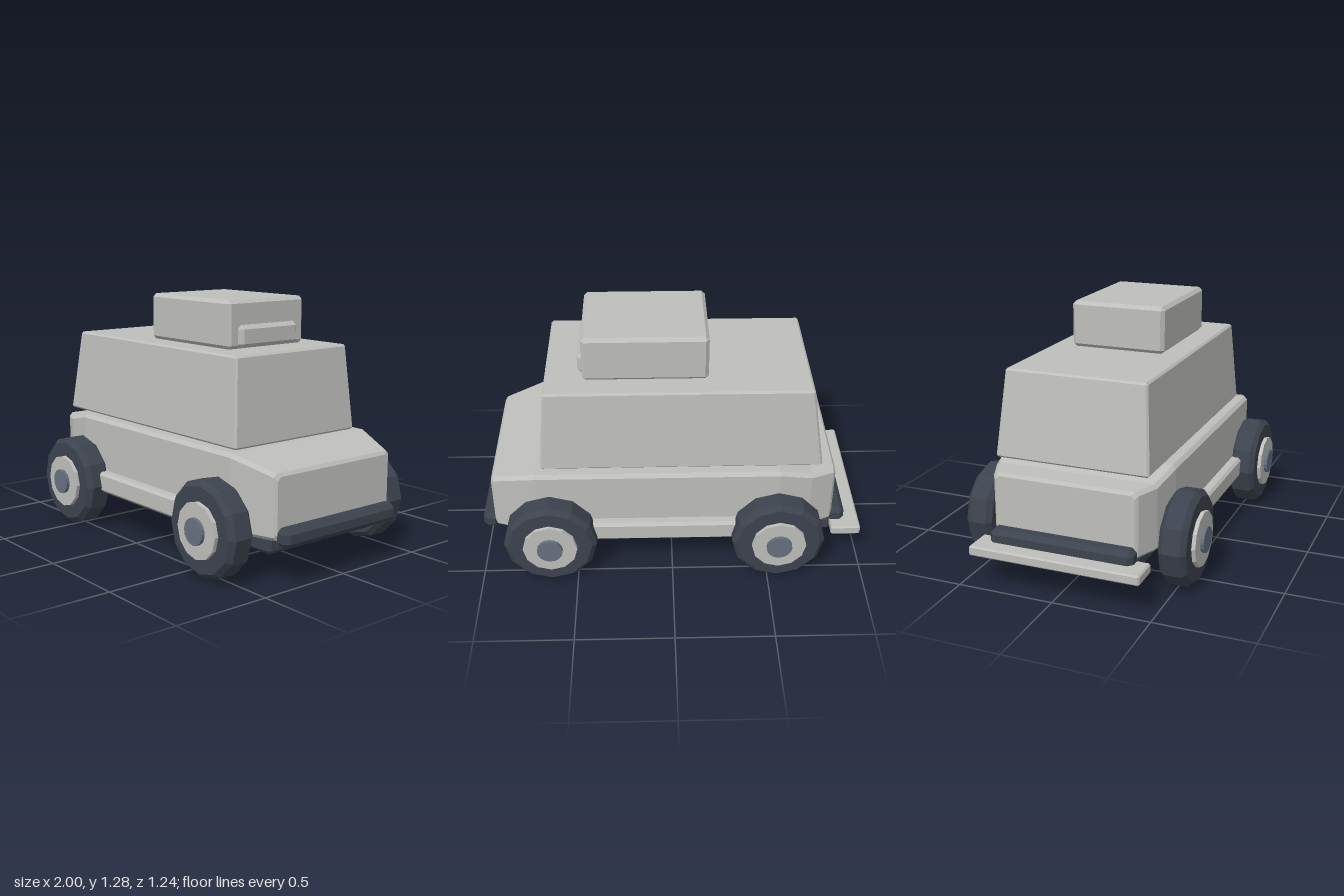
import * as THREE from 'three';
import { ConvexGeometry } from 'three/addons/geometries/ConvexGeometry.js';

const paint = new THREE.MeshStandardMaterial({ color: 0xbebebb });
paint.name = 'light grey paint';
const rubber = new THREE.MeshStandardMaterial({ color: 0x3d434e });
rubber.name = 'dark rubber';
const steel = new THREE.MeshStandardMaterial({ color: 0x667080 });
steel.name = 'blue grey steel';

function flat(geometry) {
  const g = geometry.index ? geometry.toNonIndexed() : geometry;
  g.computeVertexNormals();
  return g;
}

// Chamfered block; the upper face may be smaller than the lower one
function block(name, mat, [x0, x1], [y0, y1], [z0, z1], c, top = { x: [x0, x1], z: [z0, z1] }) {
  const pts = [];
  for (const up of [0, 1]) for (const i of [0, 1]) for (const k of [0, 1]) {
    const x = up ? top.x[i] : [x0, x1][i];
    const z = up ? top.z[k] : [z0, z1][k];
    const y = up ? y1 : y0;
    const dx = i ? -c : c, dy = up ? -c : c, dz = k ? -c : c;
    pts.push(
      new THREE.Vector3(x, y + dy, z + dz),
      new THREE.Vector3(x + dx, y, z + dz),
      new THREE.Vector3(x + dx, y + dy, z));
  }
  const mesh = new THREE.Mesh(new ConvexGeometry(pts), mat);
  mesh.name = name;
  return mesh;
}

// Lower body: chamfered sections lofted along the length
function bodyGeometry() {
  // x, top height, half width, bottom height
  const stations = [
    [-0.85, 0.54, 0.36, 0.235],
    [-0.838, 0.556, 0.375, 0.22],
    [-0.72, 0.56, 0.425, 0.22],
    [-0.55, 0.6, 0.455, 0.22],
    [0.7, 0.6, 0.455, 0.22],
    [0.922, 0.539, 0.385, 0.22],
    [0.935, 0.522, 0.37, 0.235],
  ];
  const c = 0.018;
  const pos = [];
  for (const [x, t, w, b] of stations) {
    for (const [y, z] of [[b, w - c], [b + c, w], [t - c, w], [t, w - c],
      [t, c - w], [t - c, -w], [b + c, -w], [b, c - w]]) pos.push(x, y, z);
  }
  const idx = [], n = 8, last = (stations.length - 1) * n;
  for (let s = 0; s < stations.length - 1; s++) {
    for (let i = 0; i < n; i++) {
      const a = s * n + i, b = s * n + (i + 1) % n;
      idx.push(a, a + n, b, b, a + n, b + n);
    }
  }
  for (let i = 1; i < n - 1; i++) {
    idx.push(0, i, i + 1, last, last + i + 1, last + i);
  }
  const g = new THREE.BufferGeometry();
  g.setAttribute('position', new THREE.Float32BufferAttribute(pos, 3));
  g.setIndex(idx);
  return flat(g);
}

function disc(name, mat, radius, z0, z1, sides) {
  const g = new THREE.CylinderGeometry(radius, radius, z1 - z0, sides);
  g.rotateX(Math.PI / 2).translate(0, 0, (z0 + z1) / 2);
  const mesh = new THREE.Mesh(flat(g), mat);
  mesh.name = name;
  return mesh;
}

// Wheel facing +z, centred on its axle
function makeWheel() {
  const wheel = new THREE.Group();
  const profile = [[0, -0.07], [0.215, -0.07], [0.24, -0.045], [0.24, 0.045], [0.215, 0.07], [0, 0.07]]
    .map(([r, y]) => new THREE.Vector2(r, y));
  const tyre = new THREE.Mesh(flat(new THREE.LatheGeometry(profile, 12).rotateX(Math.PI / 2)), rubber);
  tyre.name = 'tyre';
  wheel.add(tyre,
    disc('rim', paint, 0.14, 0.06, 0.09, 12),
    disc('hubCap', steel, 0.066, 0.08, 0.108, 16));
  return wheel;
}

export function createModel() {
  const car = new THREE.Group();
  car.name = 'utilityVehicle';

  const body = new THREE.Mesh(bodyGeometry(), paint);
  body.name = 'lowerBody';
  car.add(body);

  // Cabin and roof equipment
  car.add(
    block('cabin', paint, [-0.77, 0.673], [0.603, 1.04], [-0.4, 0.4], 0.01,
      { x: [-0.708, 0.638], z: [-0.367, 0.367] }),
    block('roofBox', paint, [-0.187, 0.445], [1.04, 1.28], [-0.252, 0.252], 0.018),
    block('roofBoxPanel', paint, [0.4, 0.47], [1.045, 1.157], [-0.192, 0.192], 0.02));

  // Underside, bumpers and rear step
  car.add(
    block('chassis', rubber, [-0.86, 0.865], [0.13, 0.222], [-0.36, 0.36], 0.02),
    block('frontBumper', rubber, [0.915, 1], [0.194, 0.285], [-0.375, 0.375], 0.024),
    block('rearBumper', rubber, [-0.92, -0.828], [0.194, 0.285], [-0.375, 0.375], 0.024),
    block('rearStep', paint, [-1, -0.845], [0.168, 0.22], [-0.442, 0.442], 0.008));

  // Side sills and wheels
  for (const side of [1, -1]) {
    const z = side > 0 ? [0.42, 0.508] : [-0.508, -0.42];
    car.add(block(side > 0 ? 'leftSill' : 'rightSill', paint, [-0.45, 0.53], [0.213, 0.32], z, 0.014));
    for (const [name, x] of [['rearWheel', -0.548], ['frontWheel', 0.632]]) {
      const wheel = makeWheel();
      wheel.name = name;
      wheel.position.set(x, 0.243, side * 0.514);
      if (side < 0) wheel.rotation.y = Math.PI;
      car.add(wheel);
    }
  }
  return car;
}
